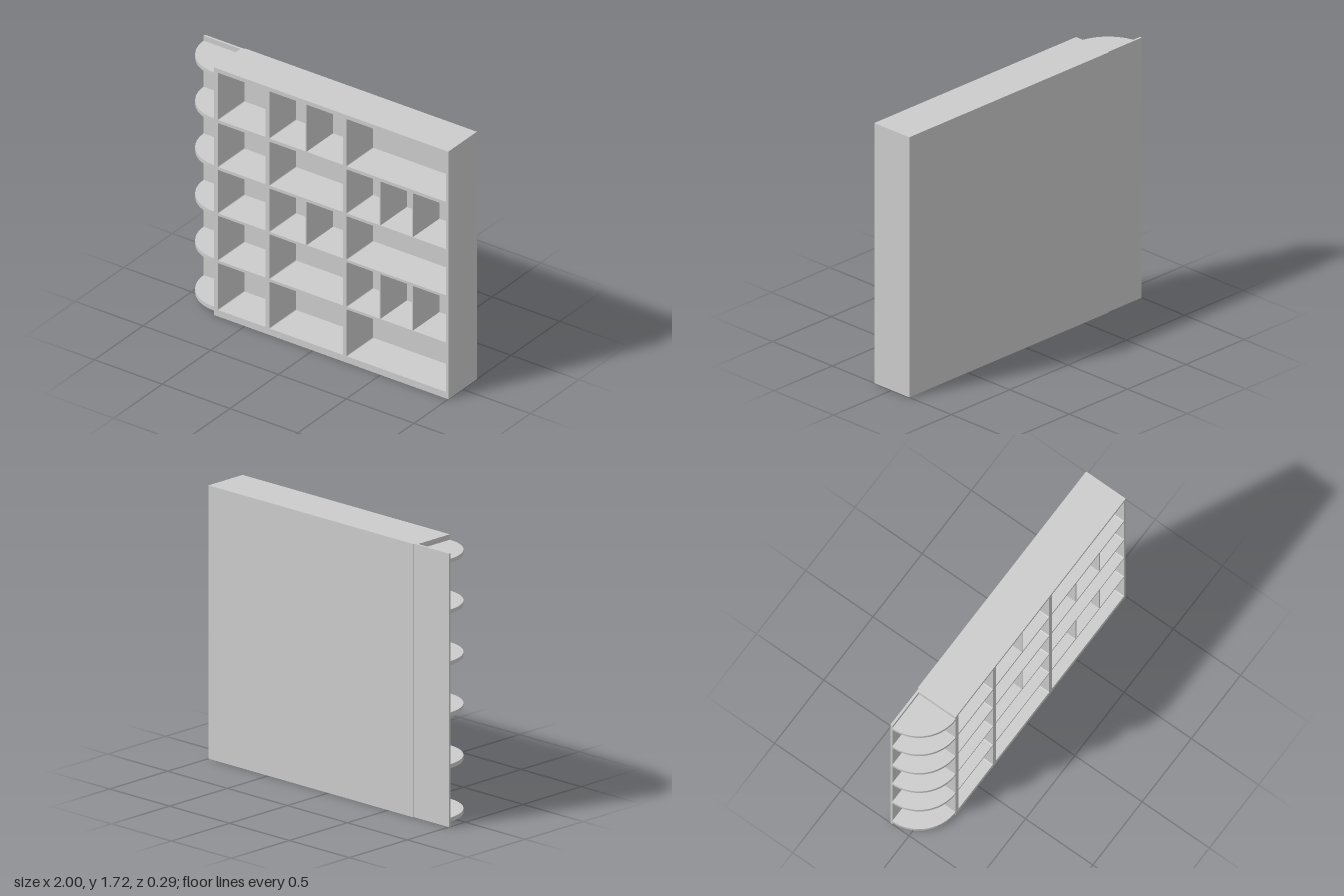
import * as THREE from 'three';

const H = 1.717, FRONT = 0.147, BACK = -0.147, INNER = -0.126; // INNER: front of the back panels
const X0 = -0.73, X1 = 1;
const columns = [[-0.70, -0.35], [-0.32, 0.222], [0.25, 0.982]];
const rows = [[0.045, 0.37], [0.388, 0.698], [0.715, 1.016], [1.036, 1.341], [1.363, 1.69]];

const flat = new THREE.MeshStandardMaterial({ color: 0xcccccc });

function add(group, name, geometry) {
  const mesh = new THREE.Mesh(geometry, flat);
  mesh.name = name;
  group.add(mesh);
  return mesh;
}

// Box given by its limits
function block(group, name, x0, x1, y0, y1, z0, z1) {
  const mesh = add(group, name, new THREE.BoxGeometry(x1 - x0, y1 - y0, z1 - z0));
  mesh.position.set((x0 + x1) / 2, (y0 + y1) / 2, (z0 + z1) / 2);
}

// Rectangle with slightly eased corners for a compartment opening
function opening(x0, x1, y0, y1, r = 0.006) {
  const p = new THREE.Path();
  p.absarc(x0 + r, y0 + r, r, Math.PI, Math.PI * 1.5);
  p.absarc(x1 - r, y0 + r, r, Math.PI * 1.5, Math.PI * 2);
  p.absarc(x1 - r, y1 - r, r, 0, Math.PI / 2);
  p.absarc(x0 + r, y1 - r, r, Math.PI / 2, Math.PI);
  p.closePath();
  return p;
}

export function createModel() {
  const model = new THREE.Group();
  model.name = 'shelfUnit';

  // Cabinet grid: one slab pierced by the compartments
  const face = new THREE.Shape();
  face.moveTo(X0, 0);
  face.lineTo(X1, 0);
  face.lineTo(X1, H);
  face.lineTo(X0, H);
  face.closePath();
  for (const [x0, x1] of columns)
    for (const [y0, y1] of rows) face.holes.push(opening(x0, x1, y0, y1));
  const frame = new THREE.ExtrudeGeometry(face, { depth: FRONT - INNER, bevelEnabled: false, curveSegments: 3 });
  add(model, 'cabinetFrame', frame).position.z = INNER;

  // Back panels: thick one behind the cabinet, thinner one behind the end shelves
  block(model, 'cabinetBack', -0.71, X1, 0, H, BACK, INNER);
  block(model, 'endBack', -1, -0.71, 0, H, -0.14, INNER + 0.001);

  // Thin upright dividers inside some compartments
  const dividers = [[-0.05, 2], [-0.05, 4], [0.495, 1], [0.735, 1], [0.495, 3], [0.735, 3]];
  for (const [x, row] of dividers)
    block(model, 'divider', x - 0.004, x + 0.004, rows[row][0], rows[row][1], INNER, FRONT - 0.001);

  // Quarter-round end shelves
  const quarter = new THREE.Shape();
  quarter.moveTo(X0, -INNER);
  quarter.lineTo(-1, -INNER);
  quarter.absellipse(X0, -INNER, 1 + X0, FRONT - INNER, Math.PI, Math.PI * 1.5);
  quarter.closePath();
  const shelf = new THREE.ExtrudeGeometry(quarter, { depth: 0.026, bevelEnabled: false, curveSegments: 32 });
  shelf.rotateX(-Math.PI / 2);
  for (const y of [0.031, 0.367, 0.692, 1.014, 1.338, 1.657])
    add(model, 'endShelf', shelf).position.y = y;

  return model;
}
